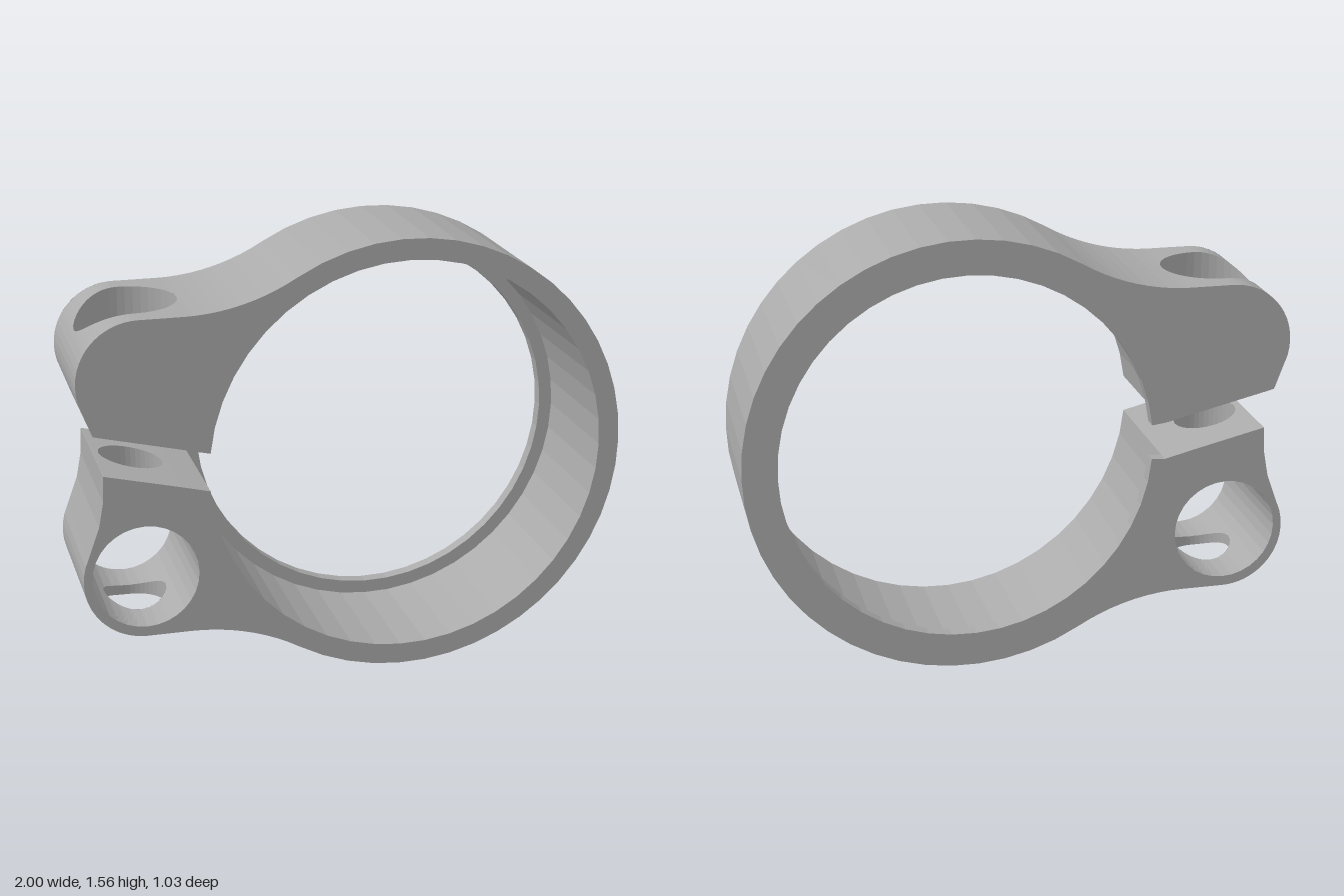
import * as THREE from 'three';

const HALF = 0.262;                    // half the band width
const RING = { x: 0.184, y: 0.78, outer: 0.78, bore: 0.706, lip: 0.658 };
const HOLE_X = -0.75, BOLT = 0.112, HEAD = 0.177, FLOOR = 1.1;
const RAD = Math.PI / 180;

// Points of an arc, angles in degrees
function arc(cx, cy, r, a0, a1, n) {
  return Array.from({ length: n + 1 }, (_, i) => {
    const a = (a0 + (a1 - a0) * i / n) * RAD;
    return [cx + r * Math.cos(a), cy + r * Math.sin(a)];
  });
}

// Faceted grid surface from a function (i, j) => [x, y, z]
function grid(nu, nv, fn, flip = false) {
  const pos = [];
  for (let i = 0; i < nu; i++) for (let j = 0; j < nv; j++) {
    const a = fn(i, j), b = fn(i + 1, j), c = fn(i + 1, j + 1), d = fn(i, j + 1);
    pos.push(...(flip ? [a, c, b, a, d, c] : [a, b, c, a, c, d]).flat());
  }
  const g = new THREE.BufferGeometry();
  g.setAttribute('position', new THREE.Float32BufferAttribute(pos, 3));
  g.computeVertexNormals();
  return g;
}

// Height along a polyline at x
function heightOf(pts) {
  const p = [...pts].sort((a, b) => a[0] - b[0]);
  return x => {
    let i = 0;
    while (i < p.length - 2 && x > p[i + 1][0]) i++;
    const [x0, y0] = p[i], [x1, y1] = p[i + 1];
    const t = Math.min(1, Math.max(0, (x - x0) / (x1 - x0 || 1)));
    return y0 + (y1 - y0) * t;
  };
}

// Plain wall across the band width, outward on the right of the path
const wall = pts => grid(pts.length - 1, 1, (i, j) => [...pts[i], j ? -HALF : HALF]);

// Wall pierced by a vertical round hole
function piercedWall(pts, r) {
  const x0 = pts[0][0], x1 = pts[pts.length - 1][0], y = heightOf(pts);
  const lo = Math.min(x0, x1), hi = Math.max(x0, x1), N = 14;
  const corners = [[lo, -HALF], [lo, HALF], [hi, HALF], [hi, -HALF]];
  return grid(4 * N, 8, (i, j) => {
    const k = i % (4 * N), s = Math.floor(k / N), t = (k % N) / N;
    const a = corners[s], b = corners[(s + 1) % 4];
    const ex = a[0] + (b[0] - a[0]) * t, ez = a[1] + (b[1] - a[1]) * t;
    const ang = Math.atan2(ez, ex - HOLE_X), m = j / 8;
    const x = ex + (HOLE_X + r * Math.cos(ang) - ex) * m;
    return [x, y(x), ez + (r * Math.sin(ang) - ez) * m];
  }, x1 > x0);
}

// Inside of a vertical hole between two heights
function shaft(r, top, bottom) {
  return grid(40, 1, (i, j) => {
    const a = i / 40 * Math.PI * 2, x = HOLE_X + r * Math.cos(a);
    return [x, (j ? top : bottom)(x), r * Math.sin(a)];
  });
}

export function createModel() {
  const metal = new THREE.MeshStandardMaterial({ color: 0xaaaaaa, side: THREE.DoubleSide });
  const model = new THREE.Group();
  model.name = 'clampCollar';
  const body = new THREE.Group();
  body.rotation.y = -0.276;
  model.add(body);
  const add = (name, geometry) => {
    const mesh = new THREE.Mesh(geometry, metal);
    mesh.name = name;
    body.add(mesh);
    return mesh;
  };

  // Outline sections, counterclockwise; those with a radius carry a bolt hole
  const upperGap = x => 0.86 - 0.2375 * (x + 0.516);
  const lowerGap = x => 0.725 - 0.2375 * (x + 0.516);
  const filletR = 0.758, turn = Math.atan2(1.323, 0.784) / RAD;
  const lowerFillet = arc(-0.6, -0.543, filletR, 90, turn, 9);
  const upperFillet = arc(-0.6, 2.103, filletR, -turn, -87, 9);
  const earBottom = [...arc(HOLE_X, 0.43, 0.215, 233, 270, 8), [-0.62, 0.215]];
  const earTop = [...arc(-0.6, 2.103, filletR, -87, -90, 2), ...arc(HOLE_X, 1.13, 0.215, 90, 150, 10)];
  const gapAbove = [[-0.88, upperGap(-0.88)], [-0.62, upperGap(-0.62)]];
  const gapBelow = [[-0.62, lowerGap(-0.62)], [-0.88, lowerGap(-0.88)]];
  const bore = arc(RING.x, RING.y, RING.bore, 173.5, -175.5, 46);
  const sections = [
    ['lowerEarSide', [gapBelow[1], [-0.884, 0.812], [-0.888, 0.72], [-0.905, 0.63],
      ...arc(HOLE_X, 0.43, 0.215, 155, 233, 9)]],
    ['lowerEarBottom', earBottom, BOLT],
    ['lowerFillet', [[-0.62, 0.215], ...lowerFillet]],
    ['outerBand', arc(RING.x, RING.y, RING.outer, 180 + turn, 540 - turn, 34)],
    ['upperFillet', upperFillet],
    ['upperEarTop', earTop, HEAD],
    ['upperEarSide', [...arc(HOLE_X, 1.13, 0.215, 150, 195, 6), [-0.914, 0.955], gapAbove[0]]],
    ['upperGapFace', gapAbove, BOLT],
    ['upperGapInner', [gapAbove[1], bore[0]]],
    ['boreWall', bore],
    ['lowerGapInner', [bore[bore.length - 1], gapBelow[0]]],
    ['lowerGapFace', gapBelow, BOLT],
  ];

  // Cross barrel, clockwise so its walls face inward
  const barrelArc = (a0, a1) => arc(HOLE_X, 0.435, 0.185, a0, a1, 8);
  const barrelTop = barrelArc(135, 45), barrelBottom = barrelArc(-45, -135);
  const barrel = [
    ['barrelLeft', barrelArc(225, 135)],
    ['barrelTop', barrelTop, BOLT],
    ['barrelRight', barrelArc(45, -45)],
    ['barrelBottom', barrelBottom, BOLT],
  ];
  for (const [name, pts, r] of [...sections, ...barrel]) add(name, r ? piercedWall(pts, r) : wall(pts));

  // Flat side faces with the barrel opening
  const toPoints = list => list.flatMap(([, pts]) => pts.slice(0, -1).map(p => new THREE.Vector2(...p)));
  const profile = new THREE.Shape(toPoints(sections));
  profile.holes.push(new THREE.Path(toPoints(barrel)));
  add('frontFace', new THREE.ShapeGeometry(profile)).position.z = HALF;
  const back = new THREE.ShapeGeometry(profile);
  back.setIndex([...back.index.array].reverse());
  back.computeVertexNormals();
  add('backFace', back).position.z = -HALF;

  // Stop lip at the back of the bore
  const lipShape = new THREE.Shape([...bore, ...arc(RING.x, RING.y, RING.lip, -175.5, 173.5, 46)]
    .map(p => new THREE.Vector2(...p)));
  add('stopLip', new THREE.ExtrudeGeometry(lipShape, { depth: 0.047, bevelEnabled: false })).position.z = -HALF;

  // Bolt shafts and head seat
  const floor = () => FLOOR;
  add('headRecess', shaft(HEAD, heightOf(earTop), floor));
  add('upperBoltHole', shaft(BOLT, floor, upperGap));
  add('lowerBoltHole', shaft(BOLT, lowerGap, heightOf(barrelTop)));
  add('boltExit', shaft(BOLT, heightOf(barrelBottom), heightOf(earBottom)));
  const seat = new THREE.RingGeometry(BOLT, HEAD, 40);
  seat.rotateX(-Math.PI / 2);
  add('headSeat', seat).position.set(HOLE_X, FLOOR, 0);

  return model;
}
